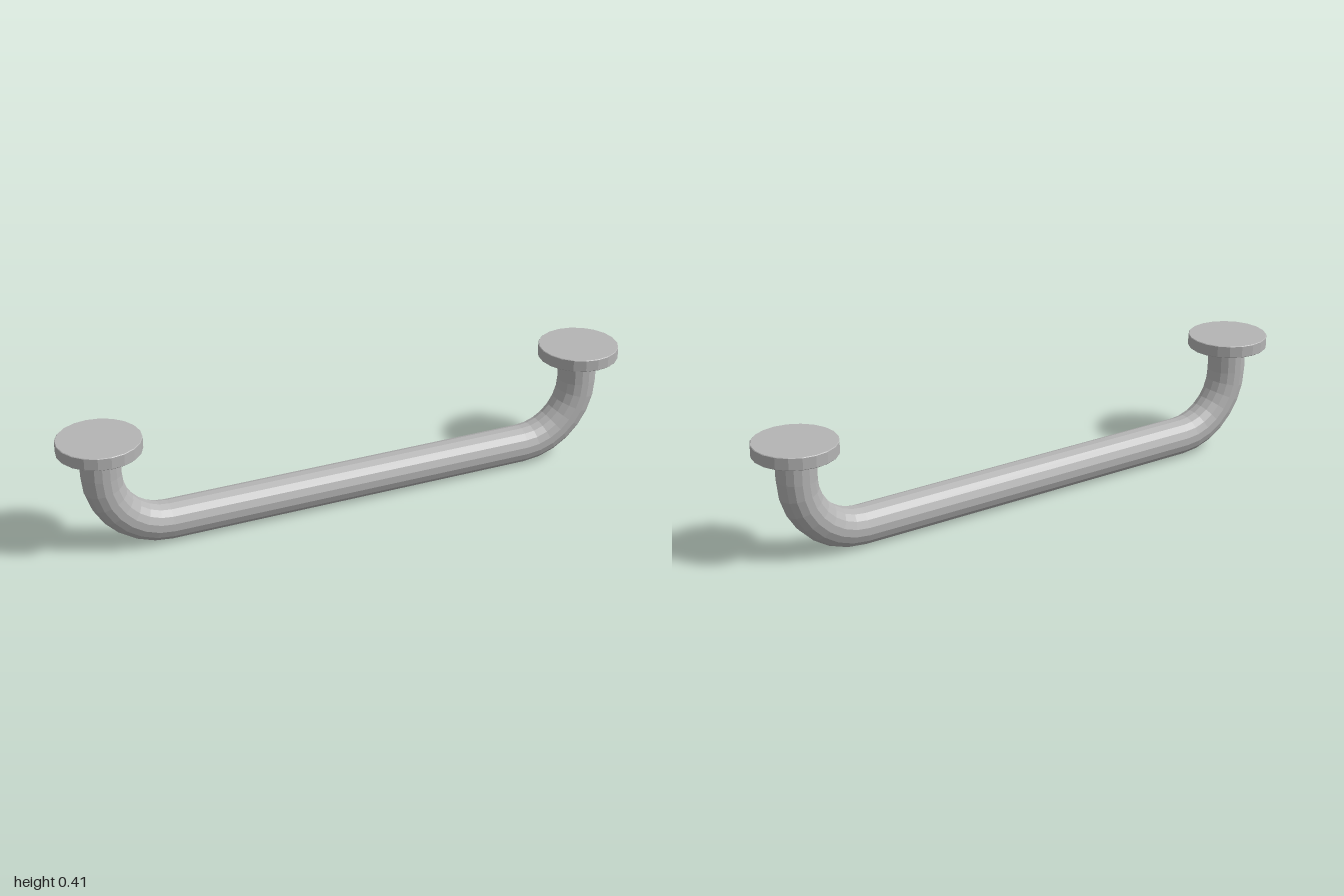
import * as THREE from 'three';

const TUBE_R = 0.0655, SIDES = 16;
const LEG_X = 0.862, BEND_R = 0.215, BAR_Y = 0.065;
const FLANGE_R = 0.138, FLANGE_BOTTOM = 0.365, FLANGE_TOP = 0.407;
const BEND_STEPS = 7;

// Stations along the centre line: position and direction angle in the xy plane
function barStations() {
  const half = [{ x: LEG_X, y: FLANGE_BOTTOM + 0.005, a: 0 }];
  for (let i = 0; i <= BEND_STEPS; i++) {
    const a = (i / BEND_STEPS) * Math.PI / 2;
    half.push({
      x: LEG_X - BEND_R + BEND_R * Math.cos(a),
      y: BAR_Y + BEND_R - BEND_R * Math.sin(a),
      a,
    });
  }
  const mirrored = half.map(s => ({ x: -s.x, y: s.y, a: Math.PI - s.a })).reverse();
  return [...half, ...mirrored];
}

// Sweep a polygonal ring through the stations
function sweepBar() {
  const stations = barStations();
  const positions = [], index = [];
  for (const { x, y, a } of stations) {
    for (let j = 0; j < SIDES; j++) {
      const t = ((j + 0.5) / SIDES) * Math.PI * 2;
      const out = TUBE_R * Math.cos(t);
      positions.push(x + out * Math.cos(a), y - out * Math.sin(a), TUBE_R * Math.sin(t));
    }
  }
  for (let i = 0; i < stations.length - 1; i++) {
    for (let j = 0; j < SIDES; j++) {
      const k = (j + 1) % SIDES;
      const a = i * SIDES + j, b = i * SIDES + k;
      const c = a + SIDES, d = b + SIDES;
      index.push(a, c, b, b, c, d);
    }
  }
  const geometry = new THREE.BufferGeometry();
  geometry.setAttribute('position', new THREE.Float32BufferAttribute(positions, 3));
  geometry.setIndex(index);
  // Separate the facets so each has its own normal
  const faceted = geometry.toNonIndexed();
  faceted.computeVertexNormals();
  return faceted;
}

export function createModel() {
  const group = new THREE.Group();
  group.name = 'grabHandle';
  const metal = new THREE.MeshStandardMaterial({ color: 0xb4b4b4 });
  metal.name = 'brushed grey metal';
  metal.flatShading = true;
  metal.side = THREE.DoubleSide;

  // Bent bar
  const bar = new THREE.Mesh(sweepBar(), metal);
  bar.name = 'bar';
  group.add(bar);

  // Round mounting plates with a fine edge bevel
  const e = 0.002;
  const profile = [
    [0, FLANGE_BOTTOM], [FLANGE_R - e, FLANGE_BOTTOM], [FLANGE_R, FLANGE_BOTTOM + e],
    [FLANGE_R, FLANGE_TOP - e], [FLANGE_R - e, FLANGE_TOP], [0, FLANGE_TOP],
  ].map(([r, y]) => new THREE.Vector2(r, y));
  const plateGeometry = new THREE.LatheGeometry(profile, 20);
  for (const side of [1, -1]) {
    const plate = new THREE.Mesh(plateGeometry, metal);
    plate.name = side > 0 ? 'leftMountingPlate' : 'rightMountingPlate';
    plate.position.x = side * LEG_X;
    group.add(plate);
  }
  return group;
}
